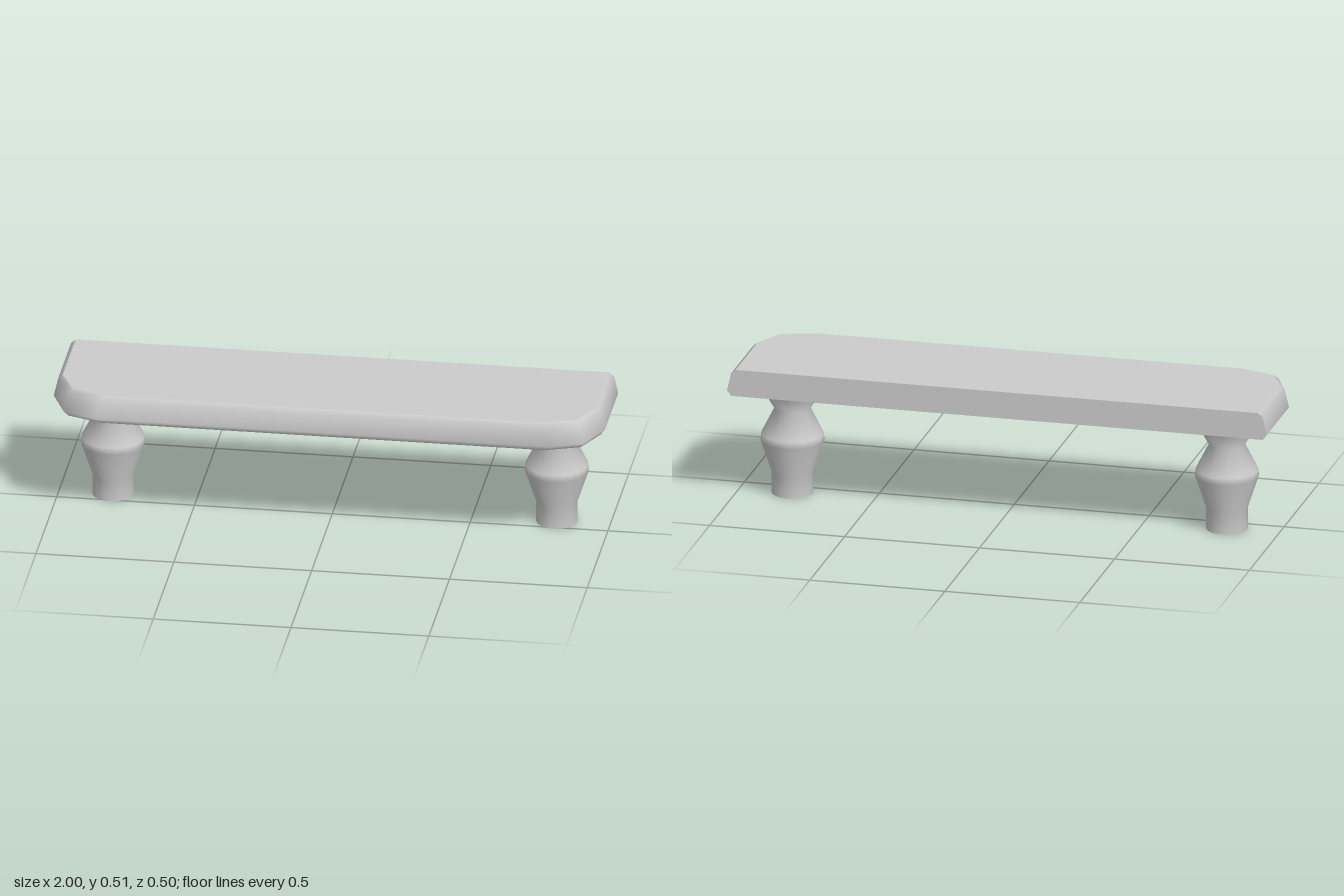
import * as THREE from 'three';
import { mergeGeometries } from 'three/addons/utils/BufferGeometryUtils.js';

const material = new THREE.MeshStandardMaterial({ color: 0xcccccc });
const legMaterial = new THREE.MeshStandardMaterial({ color: 0xcccccc, side: THREE.DoubleSide });

// Shelf outline as [x, z, share of the inset applied to z]; the back stays straight
const half = [[1, -0.25, 0], [1, 0.07, 0.2], [0.945, 0.2, 0.7], [0.82, 0.25, 1]];
const outline = [...half, ...half.map(([x, z, k]) => [-x, z, k]).reverse()];
// Edge profile as [y, inset]
const layers = [[0.41, 0.015], [0.43, 0], [0.495, 0.015], [0.51, 0.032]];

function surface(points, index) {
  const g = new THREE.BufferGeometry();
  g.setAttribute('position', new THREE.Float32BufferAttribute(points.flat(), 3));
  g.setIndex(index);
  g.computeVertexNormals();
  return g;
}

function shelfGeometry() {
  const rings = layers.map(([y, d]) =>
    outline.map(([x, z, k]) => [x - Math.sign(x) * d, y, z - d * k]));
  const n = outline.length;

  // Rounded rim along the ends and front, smooth shaded
  const rim = [];
  for (let r = 0; r < rings.length - 1; r++) {
    for (let i = 0; i < n - 1; i++) {
      const a = r * n + i, b = a + n;
      rim.push(a, b, a + 1, a + 1, b, b + 1);
    }
  }

  // Flat faces: underside, top and back
  const fan = (points) => {
    const index = [];
    for (let i = 1; i < points.length - 1; i++) index.push(0, i, i + 1);
    return surface(points, index);
  };
  const back = [...rings.map((r) => r[n - 1]), ...rings.map((r) => r[0]).reverse()];
  return mergeGeometries([
    surface(rings.flat(), rim),
    fan(rings[0]),
    fan([...rings[rings.length - 1]].reverse()),
    fan(back),
  ]);
}

// Turned leg, open at both ends, as [radius, y]
const legProfile = [[0.075, 0], [0.075, 0.08], [0.115, 0.2], [0.113, 0.225], [0.065, 0.32], [0.12, 0.411]];

export function createModel() {
  const group = new THREE.Group();
  group.name = 'shelf';

  const top = new THREE.Mesh(shelfGeometry(), material);
  top.name = 'shelfTop';
  group.add(top);

  const legGeometry = new THREE.LatheGeometry(legProfile.map(([r, y]) => new THREE.Vector2(r, y)), 20);
  for (const side of [1, -1]) {
    const leg = new THREE.Mesh(legGeometry, legMaterial);
    leg.name = side > 0 ? 'leftLeg' : 'rightLeg';
    leg.position.set(side * 0.805, 0, -0.065);
    group.add(leg);
  }
  return group;
}
